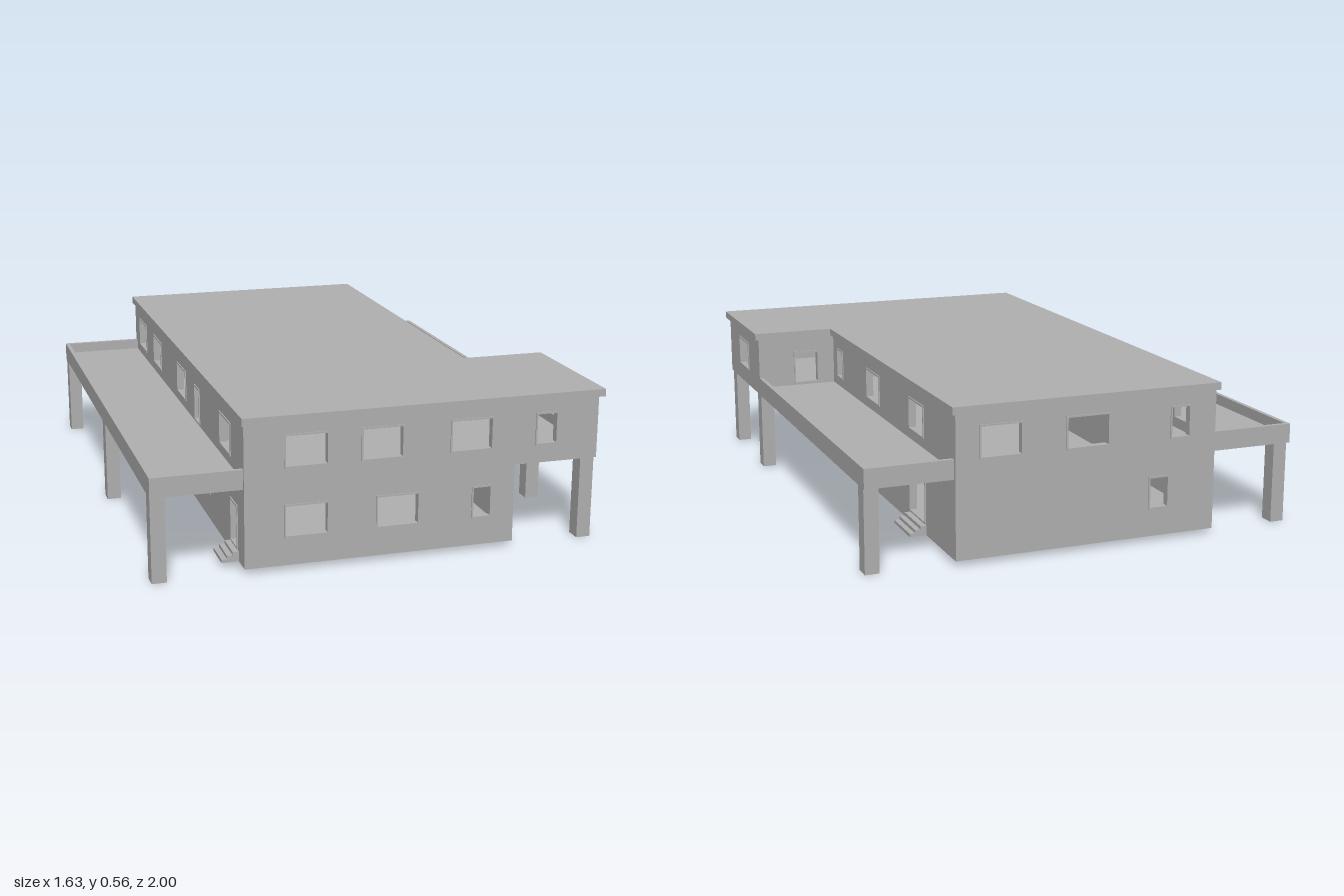
import * as THREE from 'three';

const T = 0.02; // wall thickness
const grey = new THREE.MeshStandardMaterial({ color: 0xb0b0b0 });
grey.name = 'plaster grey';

function rect(Kind, [u0, u1, y0, y1]) {
  const s = new Kind();
  s.moveTo(u0, y0);
  s.lineTo(u1, y0);
  s.lineTo(u1, y1);
  s.lineTo(u0, y1);
  s.closePath();
  return s;
}

export function createModel() {
  const model = new THREE.Group();
  model.name = 'house';

  function add(name, geometry) {
    const mesh = new THREE.Mesh(geometry, grey);
    mesh.name = name;
    model.add(mesh);
  }

  function box(name, x0, x1, y0, y1, z0, z1) {
    const g = new THREE.BoxGeometry(x1 - x0, y1 - y0, z1 - z0);
    g.translate((x0 + x1) / 2, (y0 + y1) / 2, (z0 + z1) / 2);
    add(name, g);
  }

  // Upright panel with holes; 'x' panels run along x, 'z' panels along z.
  // centre is the middle of the panel's thickness on the other axis.
  function panel(name, axis, centre, area, holes, depth) {
    const shape = rect(THREE.Shape, area);
    holes.forEach((h) => shape.holes.push(rect(THREE.Path, h)));
    const g = new THREE.ExtrudeGeometry(shape, { depth, bevelEnabled: false });
    g.translate(0, 0, -depth / 2);
    if (axis === 'z') g.rotateY(-Math.PI / 2).translate(centre, 0, 0);
    else g.translate(0, 0, centre);
    add(name, g);
  }

  // Wall with a slim protruding frame in every opening
  function wall(name, axis, centre, area, openings) {
    panel(name, axis, centre, area, openings, T);
    for (const o of openings) {
      const inner = [o[0] + 0.006, o[1] - 0.006, o[2] + 0.006, o[3] - 0.006];
      panel(name + 'Frame', axis, centre, o, [inner], T + 0.008);
    }
  }

  const low = (a, b) => [a, b, 0.12, 0.24];
  const high = (a, b) => [a, b, 0.37, 0.49];

  // Outer walls
  wall('frontWall', 'x', 0.97, [-0.48, 0.465, 0.02, 0.535], [
    low(-0.36, -0.2), low(-0.03, 0.13), low(0.325, 0.4),
    high(-0.36, -0.2), high(-0.085, 0.07), high(0.24, 0.4),
  ]);
  wall('backWall', 'x', -0.975, [-0.48, 0.465, 0.02, 0.535], [
    low(-0.32, -0.24), high(-0.4, -0.32), high(-0.085, 0.08), high(0.24, 0.4),
  ]);
  wall('rightWall', 'z', -0.49, [-0.985, 0.98, 0.02, 0.535], [
    low(-0.88, -0.72), low(-0.56, -0.4), low(-0.08, 0.08), low(0.32, 0.48),
    [0.79, 0.89, 0.06, 0.22],
    high(-0.88, -0.72), high(-0.56, -0.4), high(-0.08, 0.08), high(0.64, 0.8),
    [0.235, 0.32, 0.342, 0.48],
  ]);
  wall('leftLowerWall', 'z', 0.475, [-0.985, 0.98, 0.02, 0.305], [
    low(-0.165, 0), low(0.32, 0.4), low(0.56, 0.64), low(0.8, 0.88),
    [-0.685, -0.51, 0.06, 0.24],
  ]);
  wall('leftUpperWall', 'z', 0.475, [-0.985, 0.48, 0.305, 0.535], [
    high(-0.67, -0.51), high(-0.165, 0), high(0.32, 0.4),
  ]);

  // Overhanging upper wing
  wall('wingFrontWall', 'x', 0.97, [0.465, 0.78, 0.305, 0.535], [high(0.56, 0.645)]);
  wall('wingBackWall', 'x', 0.47, [0.485, 0.78, 0.305, 0.535], [[0.55, 0.655, 0.342, 0.475]]);
  wall('wingSideWall', 'z', 0.79, [0.46, 0.98, 0.305, 0.535], [high(0.64, 0.8)]);
  box('wingFloor', 0.465, 0.78, 0.305, 0.335, 0.48, 0.96);

  // Floors and inner partitions
  box('groundFloor', -0.48, 0.465, 0.05, 0.058, -0.965, 0.96);
  box('upperFloor', -0.48, 0.465, 0.3, 0.335, -0.965, 0.96);
  panel('lowerCrossPartition', 'x', 0.5, [-0.48, 0.465, 0.058, 0.3],
    [[-0.06, 0.005, 0.065, 0.22]], 0.015);
  panel('lowerLongPartition', 'z', -0.1, [-0.965, 0.49, 0.058, 0.3],
    [[-0.03, 0.05, 0.065, 0.22]], 0.015);
  panel('upperCrossPartition', 'x', 0.5, [-0.48, 0.465, 0.335, 0.535], [], 0.015);
  panel('upperLongPartition', 'z', -0.1, [-0.965, 0.49, 0.335, 0.535], [], 0.015);

  // L-shaped flat roof
  const outline = [[-0.51, -1], [0.815, -1], [0.815, -0.45], [0.5, -0.45], [0.5, 1], [-0.51, 1]];
  const roof = new THREE.Shape(outline.map(([x, y]) => new THREE.Vector2(x, y)));
  const roofGeometry = new THREE.ExtrudeGeometry(roof, { depth: 0.027, bevelEnabled: false });
  roofGeometry.rotateX(-Math.PI / 2).translate(0, 0.535, 0);
  add('roof', roofGeometry);

  // Terraces with low parapets
  const P = 0.016;
  box('rightTerraceFloor', -0.82 + P, -0.5, 0.304, 0.335, -0.97 + P, 0.97 - P);
  box('rightParapet', -0.82, -0.82 + P, 0.304, 0.375, -0.97, 0.97);
  for (const z of [-0.97, 0.97 - P]) {
    box('rightParapetEnd', -0.82 + P, -0.5, 0.304, 0.375, z, z + P);
  }
  box('leftTerraceFloor', 0.485, 0.8 - P, 0.304, 0.335, -0.97 + P, 0.46);
  box('leftParapet', 0.8 - P, 0.8, 0.304, 0.375, -0.97, 0.46);
  box('leftParapetEnd', 0.485, 0.8 - P, 0.304, 0.375, -0.97, -0.97 + P);

  // Columns
  const column = (x, z) => box('column', x - 0.026, x + 0.026, 0, 0.306, z - 0.029, z + 0.029);
  for (const z of [-0.92, 0.05, 0.94]) column(-0.794, z);
  for (const z of [-0.92, 0.49, 0.94]) column(0.77, z);

  // Entrance steps
  for (let i = 0; i < 3; i++) {
    const y = 0.02 + i * 0.012;
    const reach = 0.062 - i * 0.02;
    box('rightStep', -0.5 - reach, -0.5, y, y + 0.012, 0.78, 0.9);
    box('leftStep', 0.485, 0.485 + reach, y, y + 0.012, -0.685, -0.51);
  }

  return model;
}
